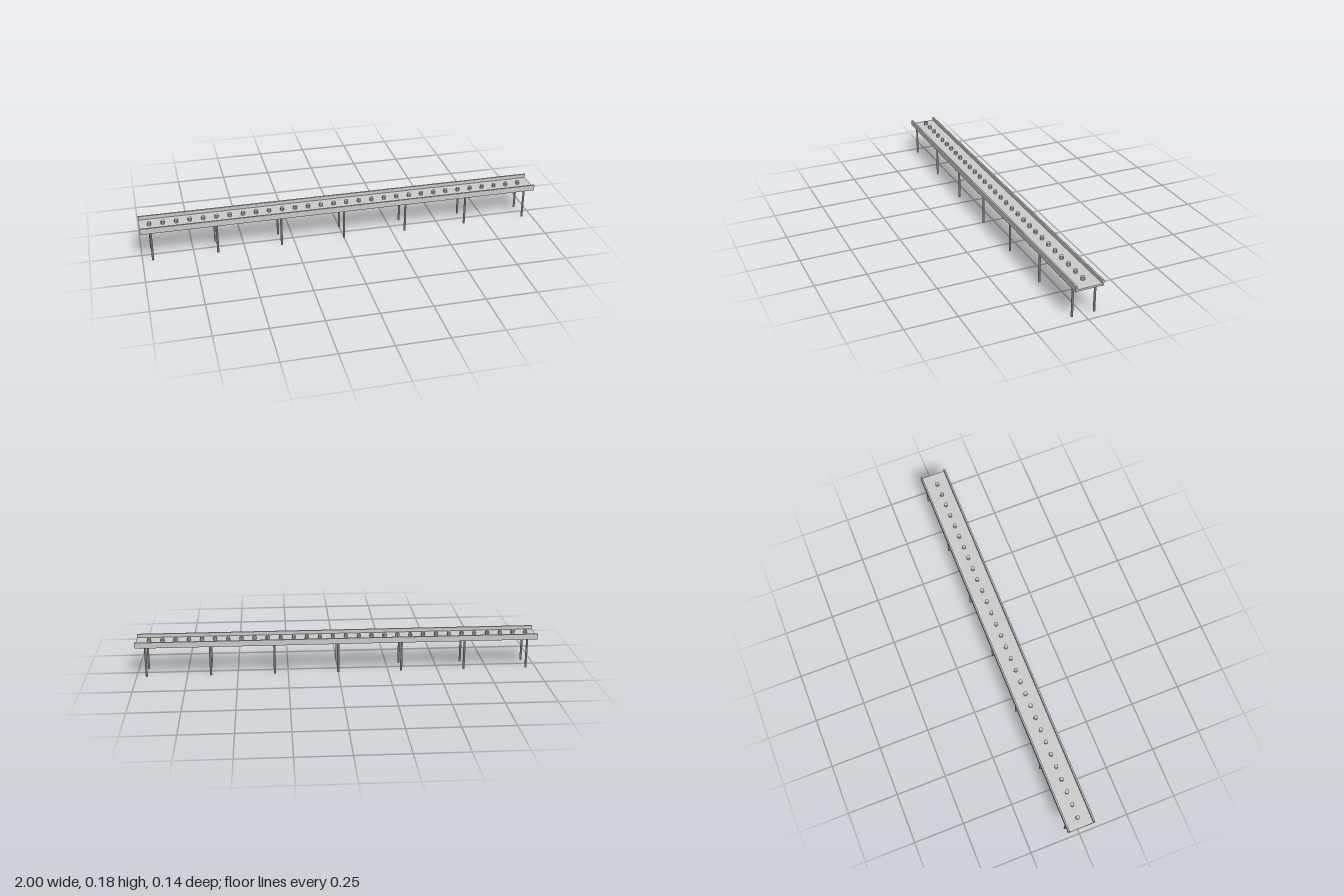
import * as THREE from 'three';

export function createModel() {
  const model = new THREE.Group();
  model.name = 'conveyor';
  const steel = new THREE.MeshStandardMaterial({ color: 0xcacaca, flatShading: true });
  steel.name = 'light grey steel';

  const add = (name, geometry, x, y, z) => {
    const mesh = new THREE.Mesh(geometry, steel);
    mesh.name = name;
    mesh.position.set(x, y, z);
    model.add(mesh);
  };

  // Flat bed running the full length
  add('bed', new THREE.BoxGeometry(2, 0.009, 0.12), 0, 0.1595, 0);

  // Side rails and the legs under each long edge
  const rail = new THREE.BoxGeometry(2, 0.029, 0.008);
  const leg = new THREE.CylinderGeometry(0.0055, 0.0055, 0.155, 8);
  for (const side of [1, -1]) {
    add(side > 0 ? 'frontRail' : 'backRail', rail, 0, 0.1675, side * 0.064);
    for (let i = 0; i < 7; i++) {
      add(side > 0 ? 'frontLeg' : 'backLeg', leg, -0.95 + (i * 1.9) / 6, 0.0775, side * 0.0545);
    }
  }

  // Row of upright pegs along the centre line
  const peg = new THREE.CylinderGeometry(0.0095, 0.0095, 0.016, 8);
  for (let i = 0; i < 30; i++) {
    add('peg', peg, -0.951 + i * 0.065, 0.172, 0);
  }
  return model;
}
